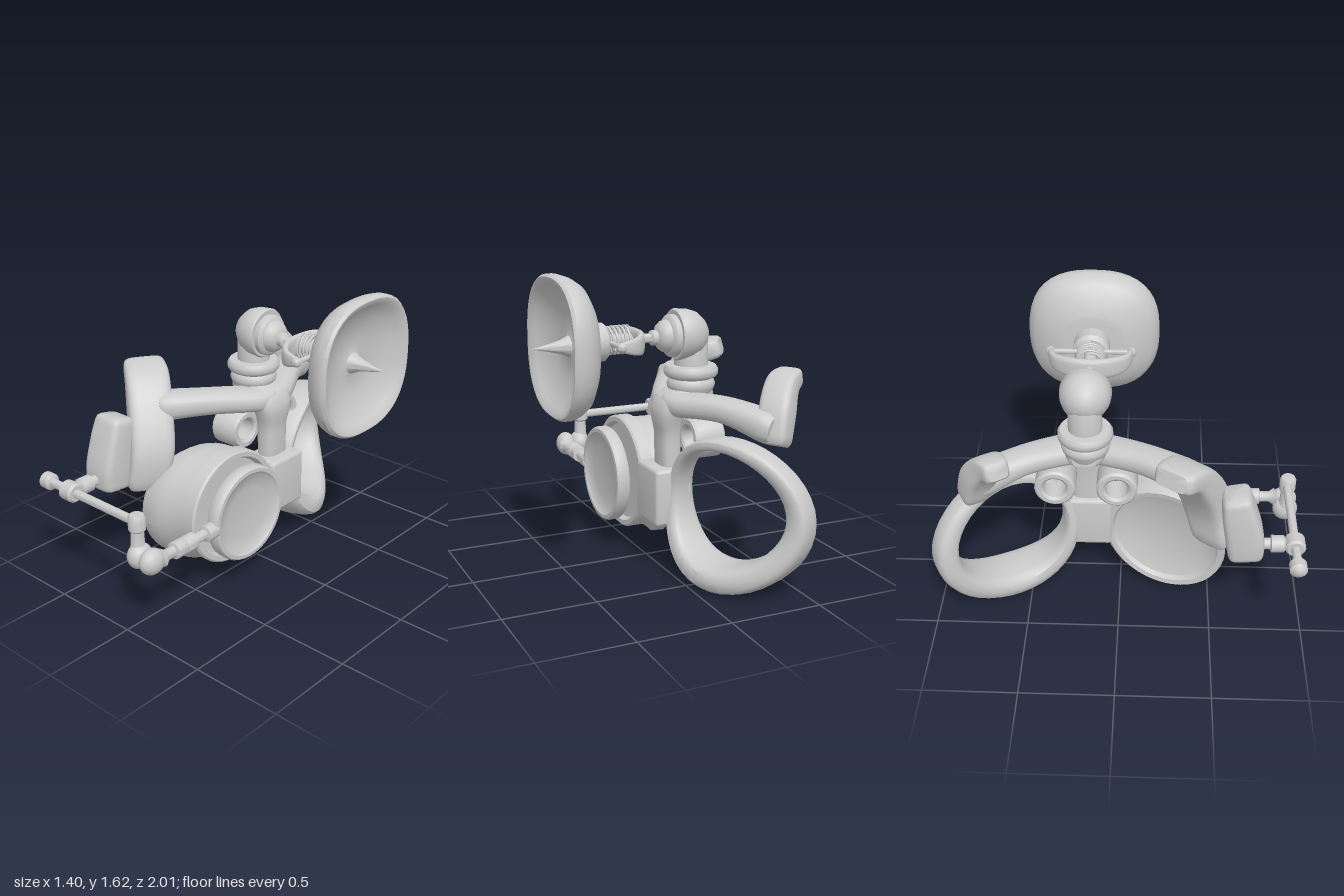
import * as THREE from 'three';
import { toCreasedNormals } from 'three/addons/utils/BufferGeometryUtils.js';
import { RoundedBoxGeometry } from 'three/addons/geometries/RoundedBoxGeometry.js';

const V = (x, y, z) => new THREE.Vector3(x, y, z);
const X = V(1, 0, 0), Y = V(0, 1, 0), Z = V(0, 0, 1);
const TAU = Math.PI * 2;

export function createModel() {
  const model = new THREE.Group();
  const material = new THREE.MeshStandardMaterial({ color: 0xcccccc, side: THREE.DoubleSide });

  function add(name, geometry, pos = V(0, 0, 0), crease = 0.7) {
    const mesh = new THREE.Mesh(toCreasedNormals(geometry, crease), material);
    mesh.name = name;
    mesh.position.copy(pos);
    model.add(mesh);
    return mesh;
  }

  // Turned part: [radius, height] pairs, height measured along the axis from pos
  function turned(name, pos, axis, profile, sides = 28) {
    const g = new THREE.LatheGeometry(profile.map(([r, h]) => new THREE.Vector2(r, h)), sides);
    const mesh = add(name, g, pos);
    mesh.quaternion.setFromUnitVectors(Y, axis);
    return mesh;
  }
  const rod = (name, pos, axis, length, r) => {
    const b = Math.min(r, length) * 0.2;
    return turned(name, pos, axis,
      [[0, 0], [r - b, 0], [r, b], [r, length - b], [r - b, length], [0, length]], 16);
  };
  const ball = (name, pos, r) => add(name, new THREE.SphereGeometry(r, 20, 14), pos);

  // Skin through cross-section loops, faces turned outward
  function loft(rings, closed = false) {
    const n = rings[0].length, m = rings.length, pts = rings.flat(), index = [];
    for (let i = 0; i < (closed ? m : m - 1); i++) {
      for (let j = 0; j < n; j++) {
        const k = (j + 1) % n, a = i * n, b = ((i + 1) % m) * n;
        index.push(a + j, b + j, b + k, a + j, b + k, a + k);
      }
    }
    let volume = 0;
    for (let i = 0; i < index.length; i += 3) {
      volume += pts[index[i]].dot(pts[index[i + 1]].clone().cross(pts[index[i + 2]]));
    }
    if (volume < 0) index.reverse();
    const g = new THREE.BufferGeometry().setFromPoints(pts);
    g.setIndex(index);
    return g;
  }

  function section(c, u, v, power, n = 24) {
    const f = (t) => Math.sign(t) * Math.pow(Math.abs(t), 2 / power);
    return Array.from({ length: n }, (_, j) => {
      const a = (j / n) * TAU;
      return c.clone().addScaledVector(u, f(Math.cos(a))).addScaledVector(v, f(Math.sin(a)));
    });
  }

  // Rounded bar along a path of [x, y, z, half width, half thickness]
  function sweep(name, path, widthDir, power = 2.5) {
    const line = new THREE.CatmullRomCurve3(path.map((p) => V(p[0], p[1], p[2])));
    const size = new THREE.CatmullRomCurve3(path.map((p) => V(p[3], p[4], 0)));
    const steps = [[0, 0], [0, 0.8], [0.03, 0.96]];
    for (let i = 1; i < 20; i++) steps.push([0.03 + 0.94 * i / 20, 1]);
    steps.push([0.97, 0.96], [1, 0.8], [1, 0]);
    const rings = steps.map(([t, s]) => {
      const side = widthDir.clone().normalize();
      const thick = line.getTangent(t).cross(side).normalize();
      const k = size.getPoint(t);
      return section(line.getPoint(t), side.multiplyScalar(k.x * s), thick.multiplyScalar(k.y * s), power);
    });
    return add(name, loft(rings));
  }

  // Dish: a turned bowl squared off by a superellipse rule, with a centre spike
  const dish = new THREE.LatheGeometry([
    [0, 0.4], [0.16, 0.4], [0.185, 0.405], [0.26, 0.435], [0.325, 0.475], [0.352, 0.515], [0.365, 0.555],
    [0.364, 0.59], [0.352, 0.604], [0.338, 0.602], [0.31, 0.575], [0.25, 0.538], [0.17, 0.51], [0.08, 0.498],
    [0.055, 0.505], [0.035, 0.55], [0.02, 0.61], [0, 0.7],
  ].map(([r, h]) => new THREE.Vector2(r, h)), 48);
  const dp = dish.attributes.position;
  for (let i = 0; i < dp.count; i++) {
    const x = dp.getX(i), z = dp.getZ(i), r = Math.hypot(x, z);
    if (r < 0.06) continue;
    const e = 2 + 0.5 * Math.min(1, r / 0.3);
    const k = Math.pow(Math.pow(Math.abs(x / r), e) + Math.pow(Math.abs(z / r), e), -1 / e);
    dp.setX(i, x * k);
    dp.setZ(i, z * k);
  }
  add('dish', dish, V(0, 1.265, -0.17)).quaternion.setFromUnitVectors(Y, X);

  // Dish mount: hub, shaft, spring and yoke
  rod('dishHub', V(0.305, 1.275, -0.175), X, 0.12, 0.1);
  turned('dishShaft', V(0, 1.275, -0.175), X,
    [[0, 0], [0.04, 0], [0.04, 0.05], [0.025, 0.06], [0.025, 0.16], [0.035, 0.17], [0.035, 0.32], [0, 0.32]], 18);
  const coil = Array.from({ length: 91 }, (_, i) => {
    const a = (i / 90) * TAU * 5;
    return V(0.18 + 0.115 * i / 90, 1.28 + 0.07 * Math.cos(a), -0.175 + 0.07 * Math.sin(a));
  });
  add('spring', new THREE.TubeGeometry(new THREE.CatmullRomCurve3(coil), 160, 0.007, 6));
  sweep('yoke', [
    [0.315, 1.28, 0.045, 0.025, 0.014], [0.22, 1.275, 0.02, 0.045, 0.018], [0.155, 1.275, -0.07, 0.058, 0.02],
    [0.14, 1.275, -0.175, 0.058, 0.022], [0.155, 1.275, -0.28, 0.058, 0.02],
    [0.22, 1.275, -0.37, 0.045, 0.018], [0.315, 1.28, -0.395, 0.025, 0.014],
  ], Y, 3);
  rod('yokePin', V(0.31, 1.28, -0.41), Z, 0.47, 0.013);
  for (const z of [0.045, -0.395]) ball('yokePivot', V(0.31, 1.28, z), 0.026);

  // Swivel post, hood and ball joint
  turned('swivelPost', V(-0.18, 0, -0.18), Y, [
    [0, 0.93], [0.1, 0.95], [0.125, 1.0], [0.13, 1.02], [0.122, 1.04], [0.115, 1.05], [0.135, 1.06], [0.145, 1.075],
    [0.145, 1.1], [0.132, 1.118], [0.09, 1.12], [0.088, 1.25], [0.07, 1.3], [0, 1.3]]);
  turned('swivelHood', V(0, 1.285, -0.18), X, [
    [0, -0.27], [0.04, -0.265], [0.08, -0.24], [0.115, -0.2], [0.132, -0.15], [0.137, -0.09],
    [0.13, -0.078], [0.11, -0.078], [0, -0.09]]);
  turned('swivelJoint', V(0, 1.28, -0.18), X, [
    [0, -0.1], [0.112, -0.1], [0.112, -0.05], [0.1, -0.038], [0.088, -0.034], [0.082, -0.01],
    [0.066, 0.01], [0.045, 0.022], [0, 0.022]]);

  // Head frame: centre stem, two swept-back arms, bridge
  sweep('centreStem', [
    [-0.28, 0.975, -0.18, 0.08, 0.04], [-0.15, 0.96, -0.18, 0.12, 0.055], [-0.055, 0.905, -0.18, 0.12, 0.075],
    [-0.045, 0.75, -0.18, 0.085, 0.06], [-0.045, 0.52, -0.18, 0.085, 0.055]], Z, 3);
  sweep('rightArm', [
    [-0.05, 0.915, -0.2, 0.07, 0.065], [-0.1, 0.925, -0.09, 0.1, 0.065],
    [-0.22, 0.95, 0.14, 0.09, 0.068], [-0.38, 0.955, 0.38, 0.1, 0.08]], V(0.86, 0, 0.5));
  sweep('leftArm', [
    [-0.05, 0.915, -0.16, 0.07, 0.065], [-0.1, 0.925, -0.27, 0.1, 0.065],
    [-0.22, 0.935, -0.5, 0.09, 0.065], [-0.36, 0.88, -0.76, 0.1, 0.085]], V(0.86, 0, -0.5));
  add('bridge', new RoundedBoxGeometry(0.21, 0.31, 0.26, 3, 0.02), V(-0.025, 0.435, -0.18));
  for (const z of [-0.015, -0.345]) {
    turned('sideTube', V(0, 0.765, z), X, [
      [0.062, -0.09], [0.062, -0.24], [0.076, -0.252], [0.098, -0.252], [0.11, -0.24], [0.11, -0.1],
      [0.098, -0.08], [0.074, -0.08], [0.062, -0.09]], 20);
  }

  // Brow hooks at the ends of the arms, and the side block
  sweep('rightBrowPad', [
    [-0.6, 1.11, 0.265, 0.11, 0.055], [-0.49, 1.07, 0.34, 0.12, 0.072], [-0.41, 0.955, 0.405, 0.12, 0.085],
    [-0.335, 0.74, 0.47, 0.12, 0.09], [-0.35, 0.53, 0.51, 0.11, 0.075]], V(-0.55, 0, 0.83), 4.5);
  sweep('leftBrowPad', [
    [-0.555, 1.105, -0.585, 0.065, 0.05], [-0.47, 1.075, -0.64, 0.08, 0.065],
    [-0.4, 0.97, -0.71, 0.085, 0.075], [-0.355, 0.8, -0.76, 0.075, 0.068]], V(-0.55, 0, -0.83), 4.5);
  sweep('sideBlock', [[-0.47, 0.94, 0.595, 0.09, 0.07], [-0.47, 0.82, 0.62, 0.1, 0.09],
    [-0.47, 0.66, 0.655, 0.102, 0.1], [-0.47, 0.55, 0.665, 0.095, 0.09]], X, 5);

  // Open eye ring on the left: a band, slim by the bridge, thick and deep at the bottom
  const ringSections = Array.from({ length: 40 }, (_, i) => {
    const a = (i / 40) * TAU, c = Math.cos(a), s = Math.sin(a);
    const centre = V(-0.165 + 0.175 * c - 0.08 * c * c, 0.435 + 0.352 * s, -0.605 + 0.325 * c);
    const depth = V(0.91, 0, -0.4 + 0.1 * c).multiplyScalar(0.11 - 0.03 * c * c - 0.035 * s);
    const thick = 0.052 - 0.018 * s - 0.012 * c;
    return section(centre, V(0.42 * c, s, 0.9 * c).multiplyScalar(thick), depth, 3.2, 16);
  });
  add('leftEyeRing', loft(ringSections, true));

  // Lens barrel: circles [x, slant, radius, centre y] from hollow back to lens
  const barrel = [
    [-0.155, 0.34, 0, 0.4], [-0.165, 0.34, 0.2, 0.4], [-0.19, 0.34, 0.275, 0.4], [-0.215, 0.34, 0.29, 0.4],
    [-0.22, 0.34, 0.318, 0.4], [-0.2, 0.32, 0.332, 0.4], [-0.12, 0.2, 0.332, 0.405], [-0.09, 0.15, 0.318, 0.42],
    [-0.025, 0, 0.305, 0.44], [-0.02, 0, 0.32, 0.44], [0.05, 0, 0.32, 0.44], [0.06, 0, 0.31, 0.44],
    [0.06, 0, 0.285, 0.44], [0.03, 0, 0.27, 0.44], [0.02, 0, 0, 0.44],
  ].map(([x, slant, r, y]) => section(V(x, y, 0.245), V(-slant * r, 0, r), V(0, r, 0), 2, 40));
  add('lensBarrel', loft(barrel), undefined, 0.6);

  // Monocle disc in front of the barrel
  turned('monocle', V(0, 0.438, 0.245), X, [
    [0, 0.115], [0.21, 0.108], [0.235, 0.1], [0.258, 0.102], [0.267, 0.115], [0.267, 0.16], [0.258, 0.174],
    [0.238, 0.175], [0.222, 0.16], [0.15, 0.148], [0, 0.142]], 40);

  // Monocle linkage: rod with couplings, double knuckle, upright and slide bar
  turned('monocleRod', V(0.138, 0.438, 0), Z, [
    [0, 0.49], [0.045, 0.49], [0.045, 0.56], [0.028, 0.565], [0.028, 0.64], [0.046, 0.645], [0.046, 0.705],
    [0.04, 0.712], [0.046, 0.72], [0.046, 0.785], [0.03, 0.79], [0.03, 0.84], [0.05, 0.87], [0, 0.9]], 18);
  ball('outerKnuckle', V(0.128, 0.437, 0.925), 0.07).scale.set(0.8, 1, 1.05);
  ball('innerKnuckle', V(0.04, 0.437, 0.925), 0.07).scale.set(0.85, 1, 1);
  turned('upright', V(0.03, 0, 0.925), Y, [
    [0, 0.43], [0.05, 0.45], [0.036, 0.5], [0.034, 0.575], [0.045, 0.585], [0.045, 0.65], [0.036, 0.665],
    [0, 0.67]], 18);
  rod('slideBar', V(-0.64, 0.617, 0.92), X, 0.67, 0.024);
  turned('barEnd', V(0, 0.617, 0.92), X, [
    [0, -0.705], [0.028, -0.695], [0.046, -0.678], [0.046, -0.63], [0.036, -0.62], [0, -0.615]], 16);
  rod('barCollar', V(-0.52, 0.617, 0.92), X, 0.09, 0.054);
  turned('collarStem', V(-0.475, 0.617, 0), Z, [
    [0, 0.72], [0.03, 0.72], [0.03, 0.79], [0.046, 0.795], [0.046, 0.86], [0.03, 0.87], [0, 0.9]], 16);

  return model;
}
